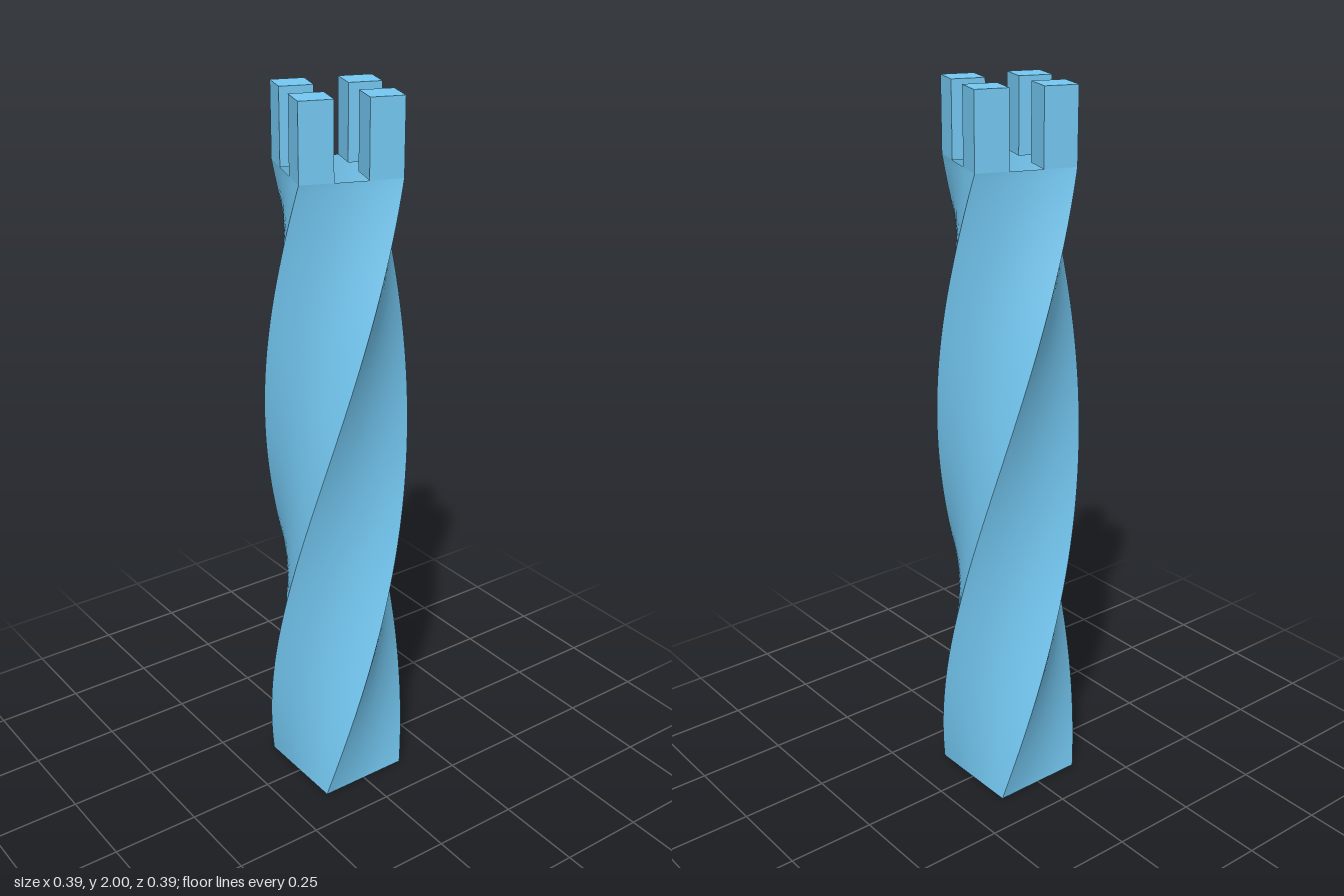
import * as THREE from 'three';

const WIDTH = 0.279, DEPTH = 0.267; // rectangular plan
const SHAFT = 1.8, CROWN = 0.2;
const TWIST = THREE.MathUtils.degToRad(160);

// Turn each vertex about the vertical axis in proportion to its height
function twist(geometry) {
  const pos = geometry.attributes.position;
  const v = new THREE.Vector3();
  const up = new THREE.Vector3(0, 1, 0);
  for (let i = 0; i < pos.count; i++) {
    v.fromBufferAttribute(pos, i);
    v.applyAxisAngle(up, TWIST * v.y / SHAFT);
    pos.setXYZ(i, v.x, v.y, v.z);
  }
  geometry.computeVertexNormals();
  return geometry;
}

export function createModel() {
  const group = new THREE.Group();
  group.name = 'twistedTower';
  const material = new THREE.MeshStandardMaterial({ color: 0x74c8f2 });
  const wallMaterial = material.clone();
  wallMaterial.side = THREE.DoubleSide;

  // Four thin twisted walls, open at the top and bottom
  const shaft = new THREE.Group();
  shaft.name = 'shaft';
  for (let i = 0; i < 4; i++) {
    const [width, offset] = i % 2 ? [DEPTH, WIDTH / 2] : [WIDTH, DEPTH / 2];
    const wall = new THREE.PlaneGeometry(width, SHAFT, 4, 100)
      .translate(0, SHAFT / 2, offset)
      .rotateY(i * Math.PI / 2);
    const mesh = new THREE.Mesh(twist(wall), wallMaterial);
    mesh.name = 'wall';
    shaft.add(mesh);
  }
  group.add(shaft);

  // Straight corner blocks, each a third of the plan, turned with the shaft top
  const crown = new THREE.Group();
  crown.name = 'crown';
  crown.position.y = SHAFT + CROWN / 2;
  crown.rotation.y = TWIST;
  const block = new THREE.BoxGeometry(WIDTH / 3, CROWN, DEPTH / 3);
  for (const sx of [-1, 1]) {
    for (const sz of [-1, 1]) {
      const mesh = new THREE.Mesh(block, material);
      mesh.name = 'battlement';
      mesh.position.set(sx * WIDTH / 3, 0, sz * DEPTH / 3);
      crown.add(mesh);
    }
  }
  group.add(crown);
  return group;
}
